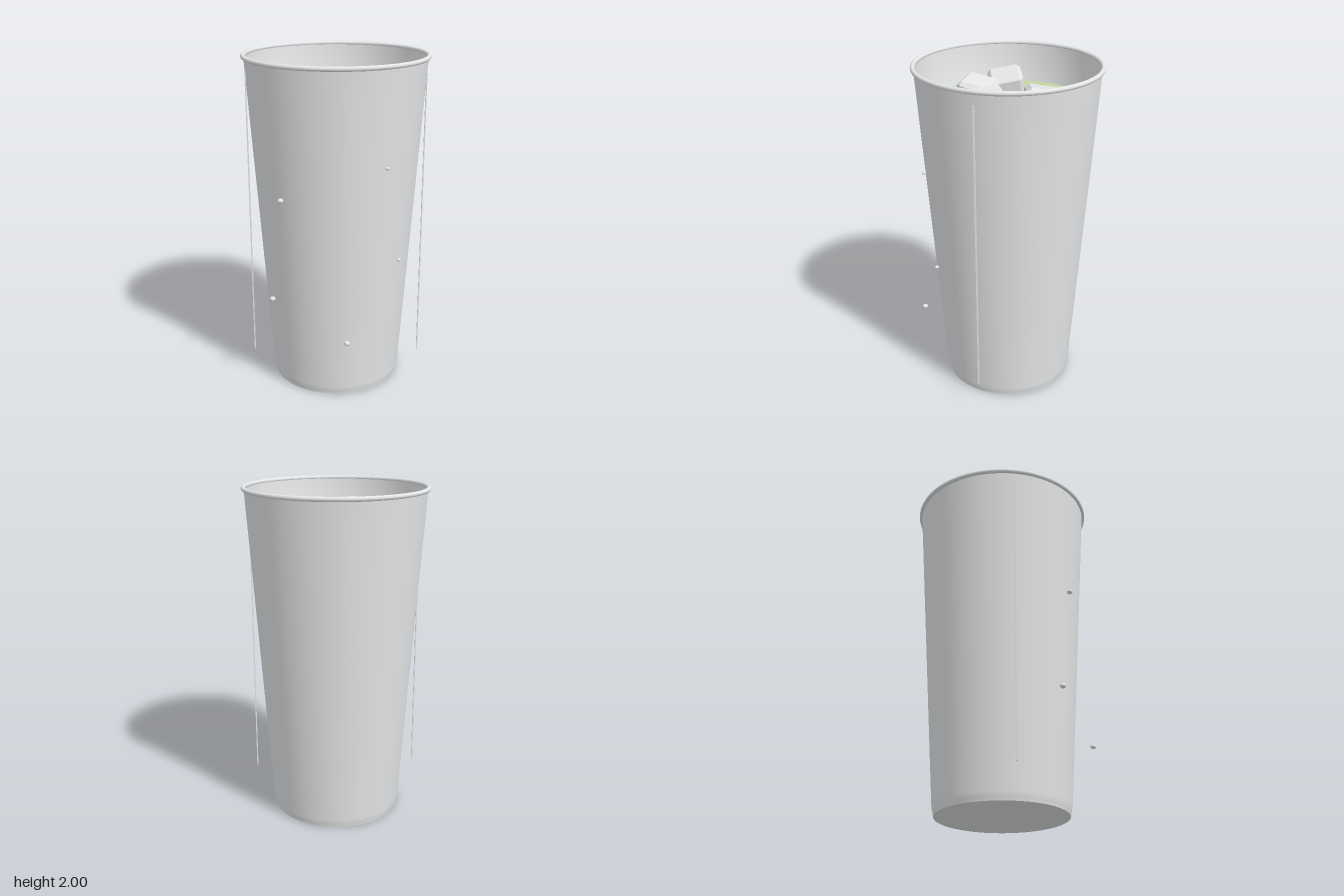
import * as THREE from 'three';
import { ConvexGeometry } from 'three/addons/geometries/ConvexGeometry.js';

const mat = (name, color, extra = {}) => {
  const m = new THREE.MeshStandardMaterial({ color, ...extra });
  m.name = name;
  return m;
};

// Box with evenly chamfered edges: h is the half size, k the half size of each flat face
function chamferedCube(h, k) {
  const pts = [];
  for (const a of [-1, 1]) for (const b of [-1, 1]) for (const c of [-1, 1]) {
    pts.push(new THREE.Vector3(a * h, b * k, c * k));
    pts.push(new THREE.Vector3(a * k, b * h, c * k));
    pts.push(new THREE.Vector3(a * k, b * k, c * h));
  }
  return new ConvexGeometry(pts);
}

export function createModel() {
  const group = new THREE.Group();
  const white = mat('cupWhite', 0xeceeef);
  const iceMat = mat('iceWhite', 0xeff1f3);
  const green = mat('drinkGreen', 0xc6d4a1);

  const add = (name, geometry, material, x = 0, y = 0, z = 0) => {
    const mesh = new THREE.Mesh(geometry, material);
    mesh.name = name;
    mesh.position.set(x, y, z);
    group.add(mesh);
    return mesh;
  };
  const lathe = (pts) => new THREE.LatheGeometry(pts.map(([r, y]) => new THREE.Vector2(r, y)), 64);

  // Cup: outer wall, inner wall, base and rolled rim
  add('outerWall', lathe([[0.385, 0], [0.388, 0.02], [0.396, 0.05], [0.522, 1.9], [0.528, 1.985]]), white);
  add('innerWall', lathe([[0.52, 1.985], [0.508, 1.85], [0.478, 1.74]]), white);
  add('base', new THREE.CircleGeometry(0.385, 64).rotateX(Math.PI / 2), white);
  add('rim', new THREE.TorusGeometry(0.531, 0.0135, 12, 64).rotateX(Math.PI / 2), white, 0, 1.9865, 0);

  // Drink surface
  add('drink', new THREE.CircleGeometry(0.486, 64).rotateX(-Math.PI / 2), green, 0, 1.762, 0);

  // Spiral swirl lying on the drink
  const swirl = [];
  for (let i = 0; i <= 60; i++) {
    const t = i / 60, a = t * 11.55, r = 0.035 + 0.3 * t;
    swirl.push(new THREE.Vector3(r * Math.cos(a), 0, r * Math.sin(a)));
  }
  add('swirl', new THREE.TubeGeometry(new THREE.CatmullRomCurve3(swirl), 160, 0.009, 8), white, 0, 1.777, 0);

  // Floating ice: position, then pitch, turn and roll
  const cube = chamferedCube(0.1, 0.078);
  [
    [0.045, 1.775, -0.19, -0.17, 0.14, 0.13],
    [-0.225, 1.79, 0.025, 0.17, 0.16, -0.15],
    [-0.045, 1.79, 0.18, -0.17, -0.26, -0.08],
    [0.185, 1.79, 0.095, 0.14, 0.35, -0.13],
  ].forEach(([x, y, z, rx, ry, rz], i) => {
    add(`iceCube${i + 1}`, cube, iceMat, x, y, z).rotation.set(rx, ry, rz, 'YXZ');
  });

  // Thin upright side strips
  for (const s of [-1, 1]) {
    add(s > 0 ? 'leftStrip' : 'rightStrip', new THREE.BoxGeometry(0.007, 1.74, 0.009), white, s * 0.508, 1.04, 0.135);
  }

  // Condensation droplets around the front
  const drop = new THREE.SphereGeometry(1, 16, 12);
  [
    [-0.305, 1.25, 0.435, 0.017],
    [0.28, 1.44, 0.45, 0.012],
    [-0.368, 0.63, 0.378, 0.017],
    [0.066, 0.42, 0.527, 0.017],
    [0.36, 0.88, 0.386, 0.012],
  ].forEach(([x, y, z, r], i) => {
    add(`droplet${i + 1}`, drop, white, x, y, z).scale.set(r, r * 0.8, r);
  });

  return group;
}
